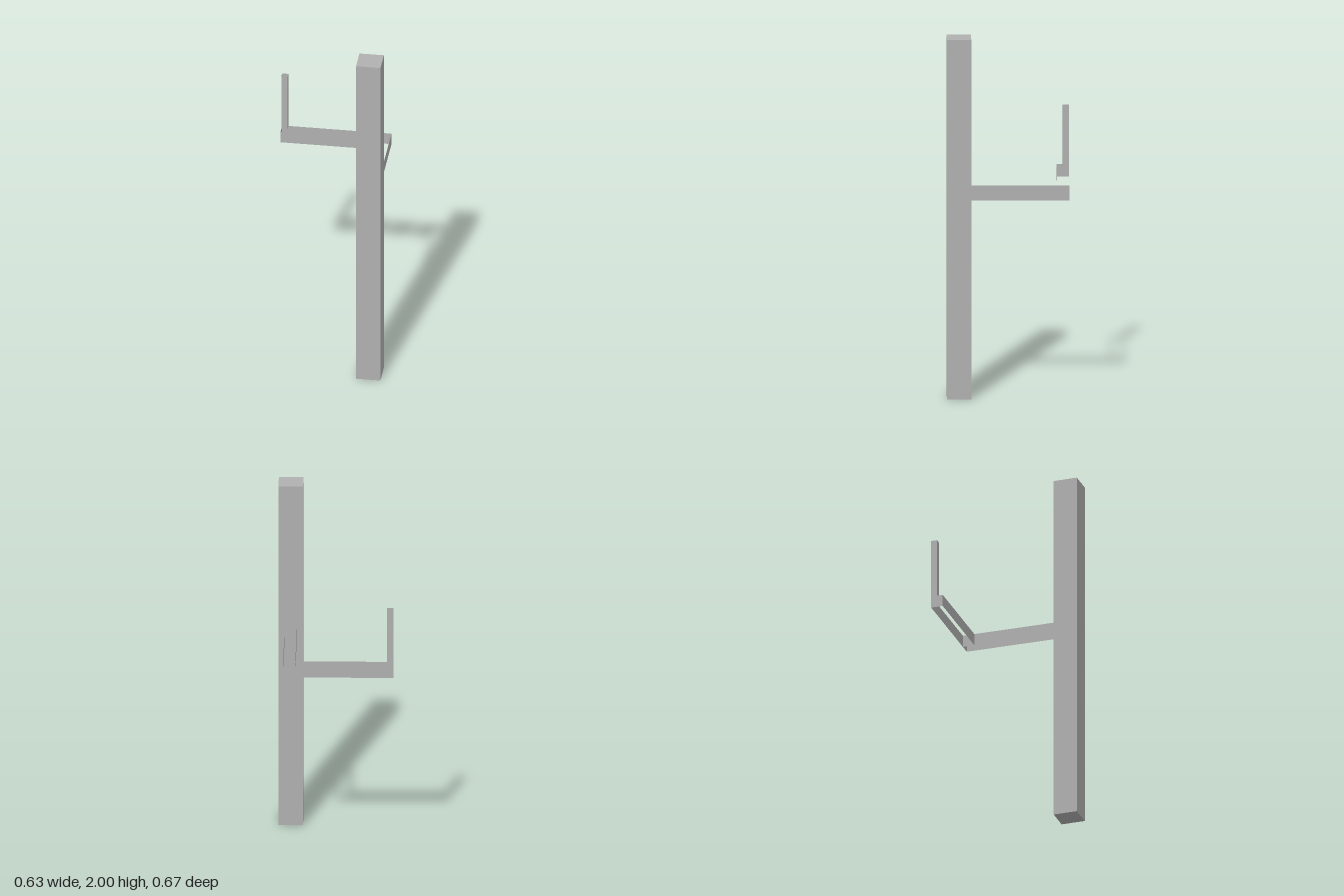
import * as THREE from 'three';

export function createModel() {
  const group = new THREE.Group();
  group.name = 'bracketPost';
  const grey = new THREE.MeshStandardMaterial({ color: 0xb0b0b0, side: THREE.DoubleSide });
  grey.name = 'grey';

  // Box between two corners, keeping only the listed sides (0..5 = +x -x +y -y +z -z)
  function box(name, min, max, sides) {
    const size = max.map((v, i) => v - min[i]);
    const geo = new THREE.BoxGeometry(...size);
    const index = Array.from(geo.index.array);
    geo.setIndex(sides.flatMap((s) => index.slice(s * 6, s * 6 + 6)));
    geo.clearGroups();
    const mesh = new THREE.Mesh(geo, grey);
    mesh.name = name;
    mesh.position.set(...min.map((v, i) => v + size[i] / 2));
    group.add(mesh);
  }

  // Solid square post
  box('post', [0.183, 0, 0.2], [0.317, 2, 0.333], [0, 1, 2, 3, 4, 5]);
  // Arm sections, open above and below
  box('rearArm', [0.217, 1.1, -0.333], [0.283, 1.167, 0.2], [0, 1, 5]);
  box('crossArm', [-0.317, 1.1, -0.333], [0.217, 1.167, -0.267], [1, 4, 5]);
  // Thin upright at the arm's end, open at its ends
  box('upright', [-0.317, 1.167, -0.333], [-0.283, 1.5, -0.3], [0, 1, 4, 5]);

  return group;
}
